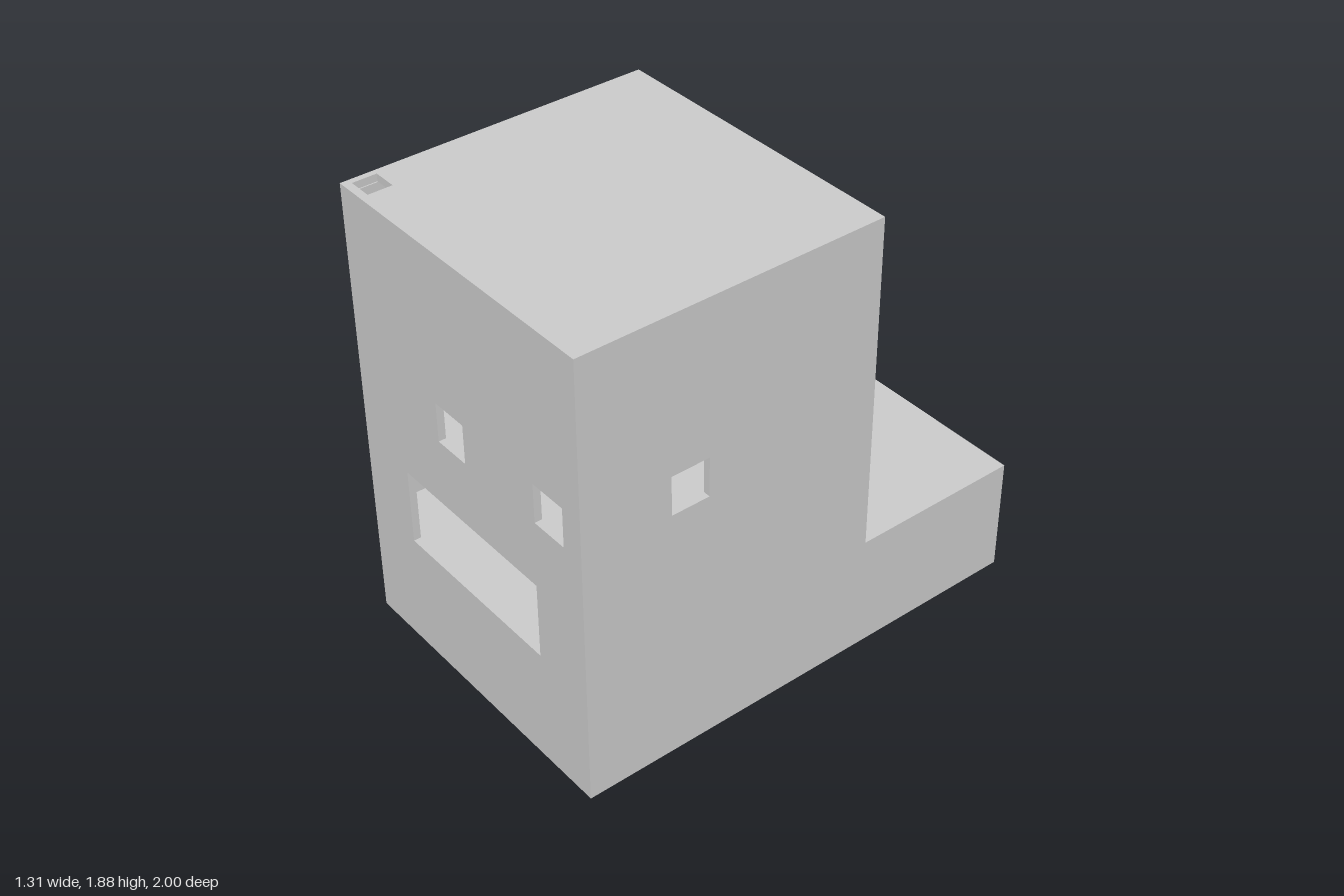
import * as THREE from 'three';

const T = 0.03;              // wall and slab thickness
const W = 0.655;             // half width of the house
const IN = W - T;            // inner half width
const BACK = -0.27;          // rear face of the tower
const WING = -0.99;          // rear face of the low wing
const H = 1.88;
const FLOOR = 0.485;         // first storey and wing roof level
const TUNNEL = -0.14;        // inner edge of the ramp pit

const rect = (u0, v0, u1, v1) => [[u0, v0], [u1, v0], [u1, v1], [u0, v1]];
const windowAt = (u, v) => rect(u, v, u + 0.16, v + 0.163);

export function createModel() {
  const house = new THREE.Group();
  house.name = 'house';
  const material = new THREE.MeshStandardMaterial({ color: 0xcccccc });

  // Extrude an outline with rectangular openings
  function panel(outline, holes, depth) {
    const points = (list) => list.map(([u, v]) => new THREE.Vector2(u, v));
    const shape = new THREE.Shape(points(outline));
    for (const hole of holes) shape.holes.push(new THREE.Path(points(hole)));
    return new THREE.ExtrudeGeometry(shape, { depth, bevelEnabled: false });
  }
  function add(name, geometry) {
    const mesh = new THREE.Mesh(geometry, material);
    mesh.name = name;
    house.add(mesh);
  }
  // Wall across x, from z to z + T
  const crossWall = (name, z, outline, holes = []) =>
    add(name, panel(outline, holes, T).translate(0, 0, z));
  // Wall along z (outline in z, y), from x back to x - depth
  const sideWall = (name, x, outline, holes = [], depth = T) =>
    add(name, panel(outline, holes, depth).rotateY(-Math.PI / 2).translate(x, 0, 0));
  // Horizontal slab (outline in x, z) with its upper face at y
  const slab = (name, y, outline, holes = []) =>
    add(name, panel(outline, holes, T).rotateX(Math.PI / 2).translate(0, y, 0));

  // Outer walls with windows
  const top = H - T;
  const sideOutline = [[WING, 0], [1, 0], [1, top], [BACK, top], [BACK, FLOOR], [WING, FLOOR]];
  sideWall('plusXWall', W, sideOutline, [windowAt(0.47, 1.083)]);
  sideWall('minusXWall', -IN, sideOutline, [
    windowAt(-0.155, 1.083), windowAt(0.28, 1.083), windowAt(0.715, 1.083), windowAt(0.28, 1.57),
  ]);
  crossWall('frontWall', 1 - T, rect(-IN, 0, IN, top), [
    windowAt(-0.16, 1.083), windowAt(0.4, 1.083), rect(-0.395, FLOOR, 0.39, 0.803),
  ]);
  crossWall('backWall', BACK, rect(-IN, FLOOR - T, IN, top), [
    windowAt(-0.348, 1.083), windowAt(-0.348, 1.57), rect(-0.01, FLOOR, 0.305, 0.705),
  ]);

  // Roof with a small corner hatch
  slab('roof', H, rect(-W, BACK, W, 1), [rect(-0.63, 0.87, -0.532, 0.968)]);

  // Ground slab and first floor, both leaving the ramp pit open
  const slabOutline = (pitEnd) => [
    [TUNNEL, WING], [IN, WING], [IN, 1 - T], [-IN, 1 - T], [-IN, pitEnd], [TUNNEL, pitEnd],
  ];
  slab('groundFloor', T, slabOutline(-0.02));
  slab('firstFloorAndWingRoof', FLOOR, slabOutline(BACK + T));

  // Upper floors
  for (const [name, y] of [['secondFloor', 0.96], ['thirdFloor', 1.44]]) {
    slab(name, y, rect(-IN, BACK + T, IN, 1 - T));
  }

  // Wing end wall and the wall beside the ramp
  crossWall('wingBackWall', WING, rect(TUNNEL, T, IN, FLOOR - T));
  sideWall('rampSideWall', TUNNEL + T, rect(WING, 0, -0.02, FLOOR - T));

  // Sloping ramp descending from the rear edge to the ground floor
  sideWall('ramp', TUNNEL, [[-1, 0.455], [-0.02, 0], [0, 0.035], [-0.985, 0.49]], [], IN + TUNNEL);

  // Inner partitions
  crossWall('firstFloorPartition', 0.03, rect(-IN, FLOOR, 0.42, 0.93));
  crossWall('roomRearPartition', 0.03, rect(-IN, 0.96, -0.32, 1.41));
  crossWall('roomFrontPartition', 0.62, rect(-IN, 0.96, -0.32, 1.41));
  sideWall('roomSidePartition', -0.32, rect(0.06, 0.96, 0.62, 1.41));

  return house;
}
